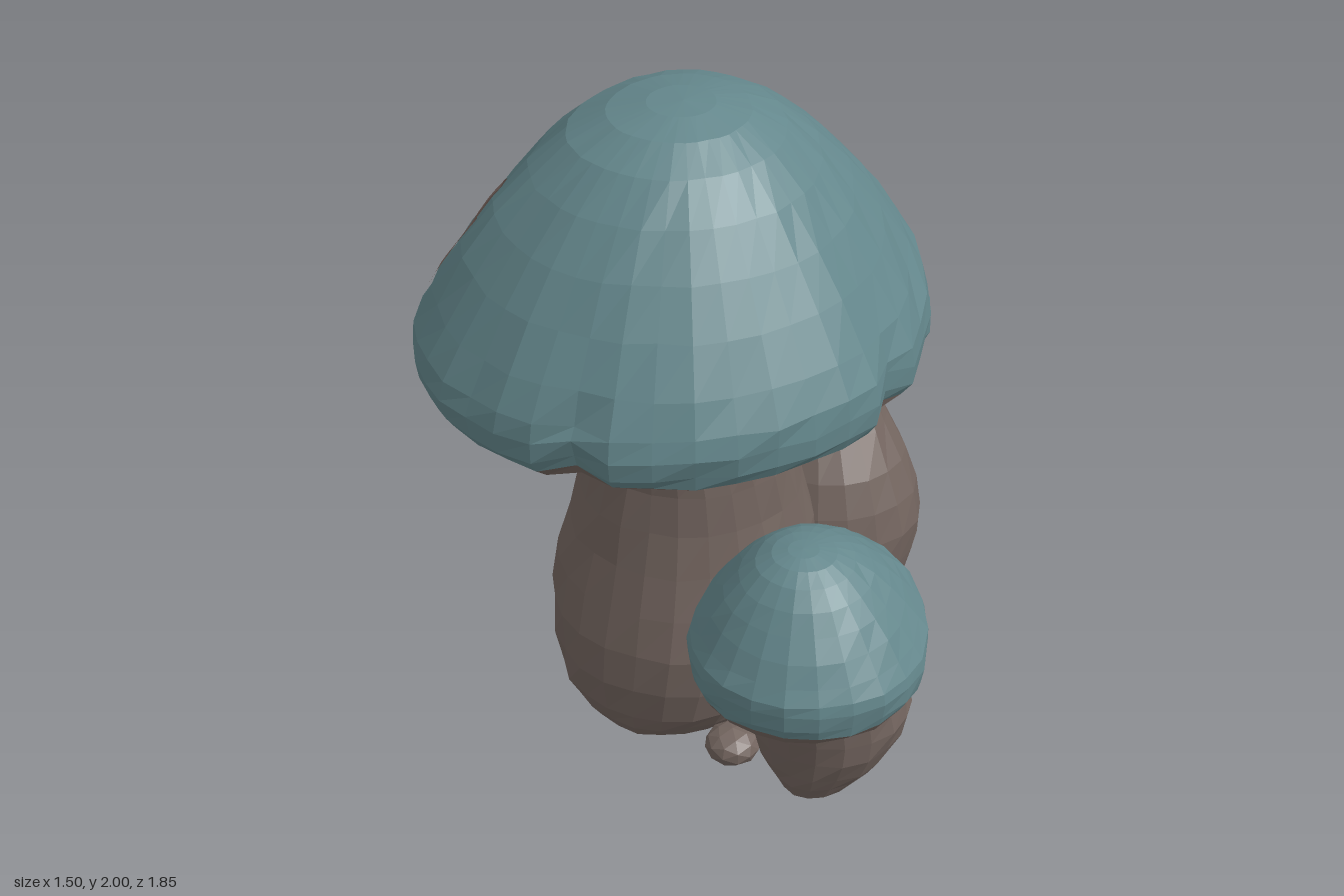
import * as THREE from 'three';

const teal = new THREE.MeshStandardMaterial({ color: 0x64878c, flatShading: true });
teal.name = 'capTeal';
const brown = new THREE.MeshStandardMaterial({ color: 0x73655f, flatShading: true });
brown.name = 'stemBrown';
const rust = new THREE.MeshStandardMaterial({ color: 0x7a665f, flatShading: true, side: THREE.DoubleSide });
rust.name = 'patchBrown';

// repeatable noise in -1..1
const noise = (i, j, seed) => {
  const v = Math.sin(i * 127.1 + j * 311.7 + seed * 74.7) * 43758.5453;
  return (v - Math.floor(v)) * 2 - 1;
};

// skin a surface through rings of points given from top to bottom
function loft(rows, segs, point) {
  const pos = [], idx = [];
  for (let i = 0; i < rows; i++)
    for (let j = 0; j < segs; j++) pos.push(...point(i, j, (j / segs) * Math.PI * 2));
  for (let i = 0; i < rows - 1; i++)
    for (let j = 0; j < segs; j++) {
      const k = (j + 1) % segs;
      const a = i * segs + j, b = a + segs, c = (i + 1) * segs + k, d = i * segs + k;
      idx.push(a, c, b, a, d, c);
    }
  const g = new THREE.BufferGeometry();
  g.setAttribute('position', new THREE.Float32BufferAttribute(pos, 3));
  g.setIndex(idx);
  g.computeVertexNormals();
  return g;
}

function mesh(name, geometry, material) {
  const m = new THREE.Mesh(geometry, material);
  m.name = name;
  return m;
}

// cap profiles: [share of rim radius, share of height, drop below rim]
const DOME = [[0, 1, 0], [0.13, 0.99, 0], [0.27, 0.95, 0], [0.41, 0.865, 0], [0.55, 0.725, 0], [0.68, 0.56, 0],
  [0.8, 0.385, 0], [0.91, 0.205, 0], [0.98, 0.075, 0], [1, 0, 0.01], [0.985, 0, 0.065], [0.95, 0, 0.1]];
// underside: [share of rim radius, share of the way to the throat, drop below rim]
const GILLS = [[0.95, 0, 0.1], [0.89, 0, 0.13], [0.82, 0.05, 0.1], [0.65, 0.5, 0.02], [0.42, 0.9, 0], [0, 1, 0]];

function makeCap(o) {
  const group = new THREE.Group();
  group.name = o.name;
  const surface = (profile, apex) => (i, j, a) => {
    const [s, h, drop] = profile[i];
    let dent = 0, lift = 0;
    for (const n of o.folds) {
      const d = Math.atan2(Math.sin(a - n.angle), Math.cos(a - n.angle));
      const k = Math.exp(-((d / n.width) ** 2));
      dent += n.depth * k * THREE.MathUtils.smoothstep(s, n.start, 1);
      lift += drop > 0 ? n.lift * k : -n.sag * k * Math.exp(-(((s - 0.75) / 0.17) ** 2));
    }
    const wobble = 1 + 0.012 * noise(Math.round(s * 100), j, o.seed);
    const r = o.radius * (1 - dent) * wobble;
    const rx = o.center[0] + Math.cos(a) * r, rz = o.center[1] + Math.sin(a) * r;
    const rim = o.rim(Math.sin(a), Math.cos(a));
    const y = THREE.MathUtils.lerp(rim, apex[1], h) - drop * o.lip + lift
      + s * s * 0.008 * o.radius * noise(j, Math.round(s * 100), o.seed + 3);
    const ax = THREE.MathUtils.lerp(o.peak[0], apex[0], h), az = THREE.MathUtils.lerp(o.peak[2], apex[2], h);
    return [THREE.MathUtils.lerp(ax, rx, s), y, THREE.MathUtils.lerp(az, rz, s)];
  };
  group.add(mesh('capTop', loft(DOME.length, o.segs, surface(DOME, o.peak)), teal));
  group.add(mesh('gills', loft(GILLS.length, o.segs, surface(GILLS, o.throat)), brown));
  return group;
}

// stem from sections [y, centre x, centre z, radius x, radius z]
function makeStem(name, sections, seed, segs = 20) {
  const curve = new THREE.CatmullRomCurve3(sections.map((s) => new THREE.Vector3(s[1], s[0], s[2])));
  const radii = new THREE.CatmullRomCurve3(sections.map((s) => new THREE.Vector3(s[3], 0, s[4])));
  const rows = (sections.length - 1) * 2 + 1;
  return mesh(name, loft(rows + 1, segs, (i, j, a) => {
    const t = Math.min(i / (rows - 1), 1);
    const c = curve.getPoint(t), r = radii.getPoint(t);
    const k = i === rows ? 0 : 1 + 0.025 * noise(i, j, seed);
    return [c.x + Math.cos(a) * r.x * k, Math.max(0.005, c.y), c.z + Math.sin(a) * r.z * k];
  }), brown);
}

// thin irregular patch laid on a cap along [x, z, half width] points
function makePatch(cap, path, seed) {
  const ray = new THREE.Raycaster();
  const curve = new THREE.CatmullRomCurve3(path.map(([x, z, w]) => new THREE.Vector3(x, w, z)));
  const N = 28, M = 5, pos = [], idx = [];
  for (let i = 0; i <= N; i++) {
    const p = curve.getPoint(i / N), t = curve.getTangent(i / N);
    const len = Math.hypot(t.x, t.z);
    for (let j = 0; j <= M; j++) {
      const side = (j / M) * 2 - 1;
      const w = p.y * side * (1 + 0.3 * noise(i >> 1, side > 0 ? 1 : 0, seed));
      const q = new THREE.Vector3(p.x - (t.z / len) * w, 3, p.z + (t.x / len) * w);
      let hit;
      for (let n = 0; n < 20 && !hit; n++) {
        ray.set(q, new THREE.Vector3(0, -1, 0));
        hit = ray.intersectObject(cap)[0];
        if (!hit) q.lerp(new THREE.Vector3(-0.06, 3, 0.25), 0.02);
      }
      const v = hit.point.addScaledVector(hit.face.normal, 0.007);
      pos.push(v.x, v.y, v.z);
      if (i < N && j < M) {
        const a = i * (M + 1) + j, b = a + M + 1;
        idx.push(a, a + 1, b, b, a + 1, b + 1);
      }
    }
  }
  const g = new THREE.BufferGeometry();
  g.setAttribute('position', new THREE.Float32BufferAttribute(pos, 3));
  g.setIndex(idx);
  g.computeVertexNormals();
  return mesh('capPatch', g, rust);
}

export function createModel() {
  const model = new THREE.Group();
  model.name = 'mushroomCluster';

  // large mushroom
  const bigCap = makeCap({
    name: 'largeCap', center: [-0.06, 0.245], radius: 0.688, peak: [0, 2, 0.28], throat: [-0.05, 1.34, 0.19],
    lip: 1, segs: 40, seed: 1,
    rim: (s, c) => 1.325 + 0.24 * Math.max(0, -s) ** 1.5 + 0.01 * c,
    folds: [
      { angle: Math.PI / 2, width: 0.08, depth: 0.05, start: 0.85, lift: 0.03, sag: 0 },
      { angle: Math.PI / 20, width: 0.08, depth: 0.05, start: 0.85, lift: 0.03, sag: 0 },
      { angle: Math.PI * 0.92, width: 0.12, depth: 0.03, start: 0.7, lift: 0.02, sag: 0 },
      { angle: Math.PI * 0.97, width: 0.2, depth: 0, start: 0.7, lift: 0, sag: 0.06 },
      { angle: Math.PI * 0.82, width: 0.2, depth: 0, start: 0.7, lift: 0, sag: -0.03 },
    ],
  });
  model.add(bigCap);
  model.add(makeStem('largeStem', [
    [1.4, -0.05, 0.19, 0.25, 0.22], [1.2, -0.05, 0.185, 0.23, 0.205], [1.0, -0.06, 0.155, 0.25, 0.235],
    [0.85, -0.06, 0.115, 0.29, 0.28], [0.6, -0.07, 0.075, 0.35, 0.35], [0.35, -0.08, 0.1, 0.38, 0.38],
    [0.12, -0.1, 0.115, 0.33, 0.35], [0.01, -0.11, 0.11, 0.26, 0.29]], 5, 24));

  // weathered patches on the large cap
  [
    [[-0.7, 0, 0.02], [-0.59, -0.14, 0.035], [-0.46, -0.27, 0.035], [-0.28, -0.365, 0.025], [0, -0.385, 0.012]],
    [[0, -0.28, 0.015], [0.09, -0.31, 0.045], [0.2, -0.34, 0.01]],
    [[-0.36, -0.23, 0.01], [-0.41, -0.11, 0.045], [-0.43, 0.01, 0.02]],
    [[-0.69, 0.385, 0.02], [-0.57, 0.39, 0.045], [-0.45, 0.39, 0.025]],
  ].forEach((path, i) => model.add(makePatch(bigCap.children[0], path, i + 20)));

  // small front mushroom, its cap tipped forward
  model.add(makeCap({
    name: 'smallCap', center: [0.43, 0.495], radius: 0.325, peak: [0.42, 0.88, 0.52], throat: [0.43, 0.63, 0.48],
    lip: 0.85, segs: 22, seed: 9,
    rim: (s) => 0.565 + 0.13 * Math.max(0, -s) - 0.005 * Math.max(0, s), folds: [],
  }));
  model.add(makeStem('smallStem', [
    [0.66, 0.43, 0.48, 0.15, 0.14], [0.54, 0.43, 0.45, 0.13, 0.12], [0.44, 0.43, 0.395, 0.155, 0.16],
    [0.35, 0.435, 0.345, 0.205, 0.215], [0.24, 0.44, 0.33, 0.23, 0.225], [0.1, 0.43, 0.32, 0.19, 0.21],
    [0.01, 0.42, 0.32, 0.12, 0.18]], 12, 18));

  // rear mushroom with a folded, drooping cap
  model.add(makeCap({
    name: 'rearCap', center: [0.05, -0.545], radius: 0.378, peak: [0.03, 1.39, -0.6], throat: [0.09, 1.0, -0.55],
    lip: 0.95, segs: 32, seed: 15,
    rim: (s, c) => 0.95 + 0.1 * s + 0.03 * c - 0.05 * Math.max(0, -s - 0.4),
    folds: [{ angle: -Math.PI * 5 / 16, width: 0.17, depth: 0.18, start: 0.35, lift: 0.02, sag: 0 }],
  }));
  model.add(makeStem('rearStem', [
    [1.04, 0.08, -0.56, 0.15, 0.14], [0.93, 0.09, -0.55, 0.14, 0.125], [0.75, 0.13, -0.51, 0.145, 0.14],
    [0.54, 0.17, -0.455, 0.225, 0.22], [0.34, 0.18, -0.45, 0.272, 0.27], [0.14, 0.18, -0.44, 0.24, 0.25],
    [0.03, 0.17, -0.42, 0.17, 0.19]], 18, 18));

  // crumbled lumps around the foot: [x, half height, z, radius]
  [[0.18, 0.06, 0.4, 0.08], [0.25, 0.08, 0.18, 0.11], [0.15, 0.1, -0.17, 0.13], [0, 0.08, -0.24, 0.1]]
    .forEach(([x, y, z, r], i) => {
      const lump = mesh('footLump', new THREE.IcosahedronGeometry(r, 1), brown);
      lump.scale.y = (y - 0.005) / r;
      lump.rotation.y = i;
      lump.position.set(x, y, z);
      model.add(lump);
    });
  return model;
}
